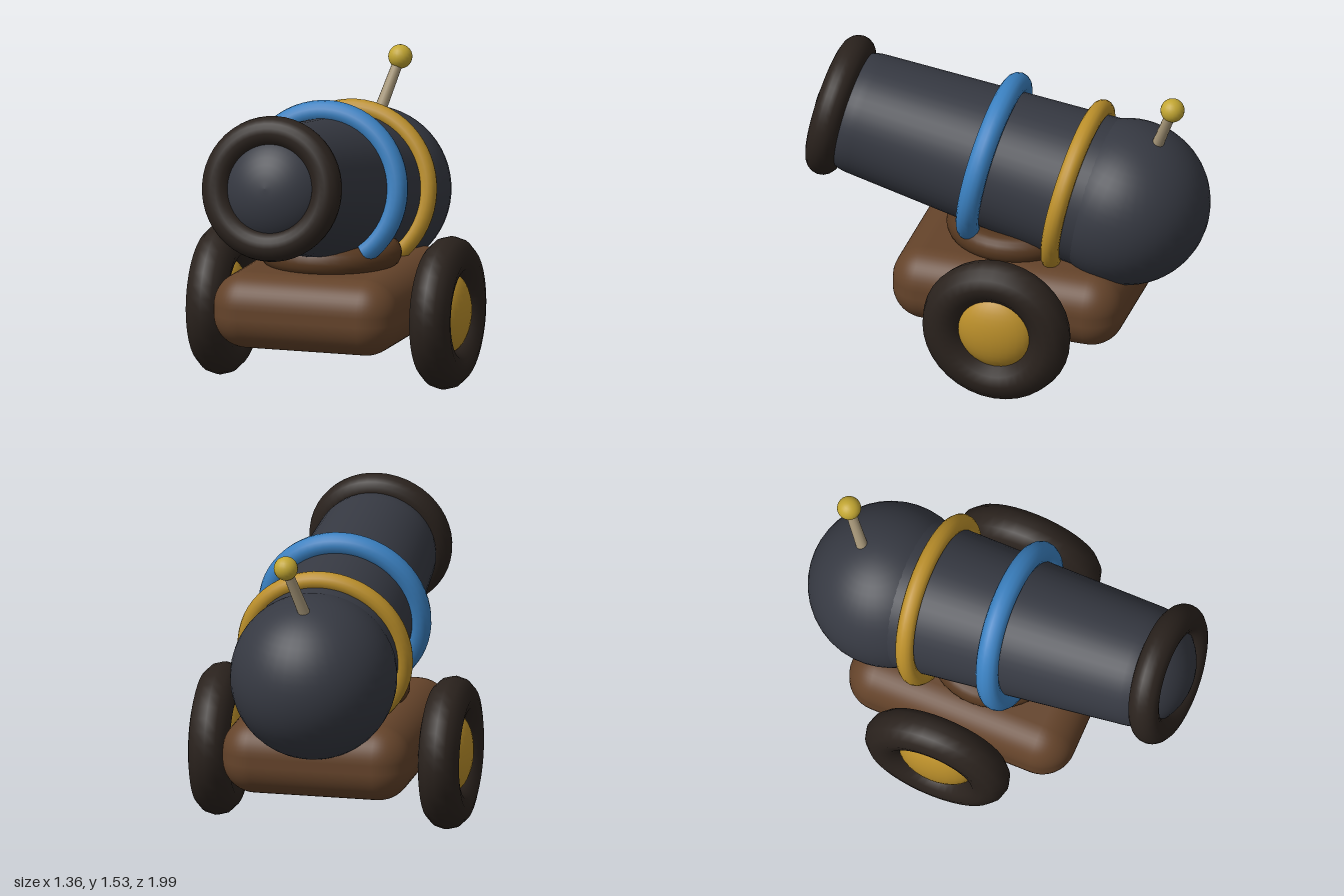
import * as THREE from 'three';
import { RoundedBoxGeometry } from 'three/addons/geometries/RoundedBoxGeometry.js';

const material = (color) => new THREE.MeshStandardMaterial({ color });

function add(parent, name, geometry, mat, x = 0, y = 0, z = 0) {
  const mesh = new THREE.Mesh(geometry, mat);
  mesh.name = name;
  mesh.position.set(x, y, z);
  parent.add(mesh);
  return mesh;
}

export function createModel() {
  const model = new THREE.Group();
  model.name = 'cannon';
  const iron = material(0x363942);
  const rubber = material(0x2a221d);
  const blue = material(0x3a80c0);
  const gold = material(0xbb8f2a);
  const wood = material(0x64432a);
  const darkWood = material(0x55371f);
  const cord = material(0xa8987a);
  const brass = material(0xc2a632);

  // Carriage body and the round saddle under the barrel
  add(model, 'carriage', new RoundedBoxGeometry(0.94, 0.375, 1.17, 6, 0.165), wood, 0, 0.427, -0.085);
  const saddleProfile = [new THREE.Vector2(0, -0.07)];
  for (let i = 0; i <= 10; i++) {
    const a = -Math.PI / 2 + (Math.PI * i) / 10;
    saddleProfile.push(new THREE.Vector2(0.275 + 0.07 * Math.cos(a), 0.07 * Math.sin(a)));
  }
  saddleProfile.push(new THREE.Vector2(0, 0.07));
  add(model, 'saddle', new THREE.LatheGeometry(saddleProfile, 40), darkWood, 0, 0.66, -0.03);

  // Tilted barrel: local z runs from the breech centre to the muzzle
  const barrel = new THREE.Group();
  barrel.name = 'barrelGroup';
  barrel.position.set(0, 0.865, -0.59);
  barrel.rotation.x = -0.192;
  model.add(barrel);
  add(barrel, 'breech', new THREE.SphereGeometry(0.407, 40, 28), iron);

  // Tapered tube closed by a dome
  const tube = [new THREE.Vector2(0.379, 0.1)];
  for (let i = 0; i <= 12; i++) {
    const a = (Math.PI / 2) * (i / 12);
    tube.push(new THREE.Vector2(i === 12 ? 0 : 0.304 * Math.cos(a), 1.335 + 0.27 * Math.sin(a)));
  }
  add(barrel, 'barrel', new THREE.LatheGeometry(tube, 48), iron).rotation.x = Math.PI / 2;
  add(barrel, 'muzzleRing', new THREE.TorusGeometry(0.28, 0.075, 18, 48), rubber, 0, 0, 1.487);

  // Bands are open at the bottom
  const arc = Math.PI * 1.58;
  const bands = [
    ['frontBand', 0.375, 0.056, 0.69, blue],
    ['rearBand', 0.392, 0.045, 0.255, gold],
  ];
  for (const [name, radius, thickness, z, mat] of bands) {
    const band = add(barrel, name, new THREE.TorusGeometry(radius, thickness, 14, 48, arc), mat, 0, 0, z);
    band.rotation.z = Math.PI / 2 - arc / 2;
    for (const a of [0, arc]) {
      const end = add(band, name + 'End', new THREE.CircleGeometry(thickness, 14), mat,
        radius * Math.cos(a), radius * Math.sin(a), 0);
      end.rotation.set(a === 0 ? Math.PI / 2 : -Math.PI / 2, a === 0 ? 0 : -a, 0, 'ZXY');
      end.rotation.set(a === 0 ? Math.PI / 2 : -Math.PI / 2, 0, a, 'ZXY');
    }
  }

  // Fuse stick with a ball tip
  const base = new THREE.Vector3(0, 1.19, -0.735);
  const tip = new THREE.Vector3(0.08, 1.475, -0.847);
  const dir = tip.clone().sub(base);
  const mid = base.clone().add(tip).multiplyScalar(0.5);
  const stick = add(model, 'fuse', new THREE.CylinderGeometry(0.025, 0.03, dir.length(), 14), cord, mid.x, mid.y, mid.z);
  stick.quaternion.setFromUnitVectors(new THREE.Vector3(0, 1, 0), dir.normalize());
  add(model, 'fuseTip', new THREE.SphereGeometry(0.059, 20, 14), brass, tip.x, tip.y, tip.z);

  // Wheels: fat tyre with a domed hub
  for (const side of [1, -1]) {
    const wheel = new THREE.Group();
    wheel.name = side > 0 ? 'leftWheel' : 'rightWheel';
    wheel.position.set(side * 0.573, 0.38, -0.105);
    model.add(wheel);
    add(wheel, 'tyre', new THREE.TorusGeometry(0.272, 0.103, 12, 36), rubber).rotation.y = Math.PI / 2;
    add(wheel, 'hub', new THREE.SphereGeometry(0.2, 28, 18), gold).scale.x = 0.53;
  }
  return model;
}
